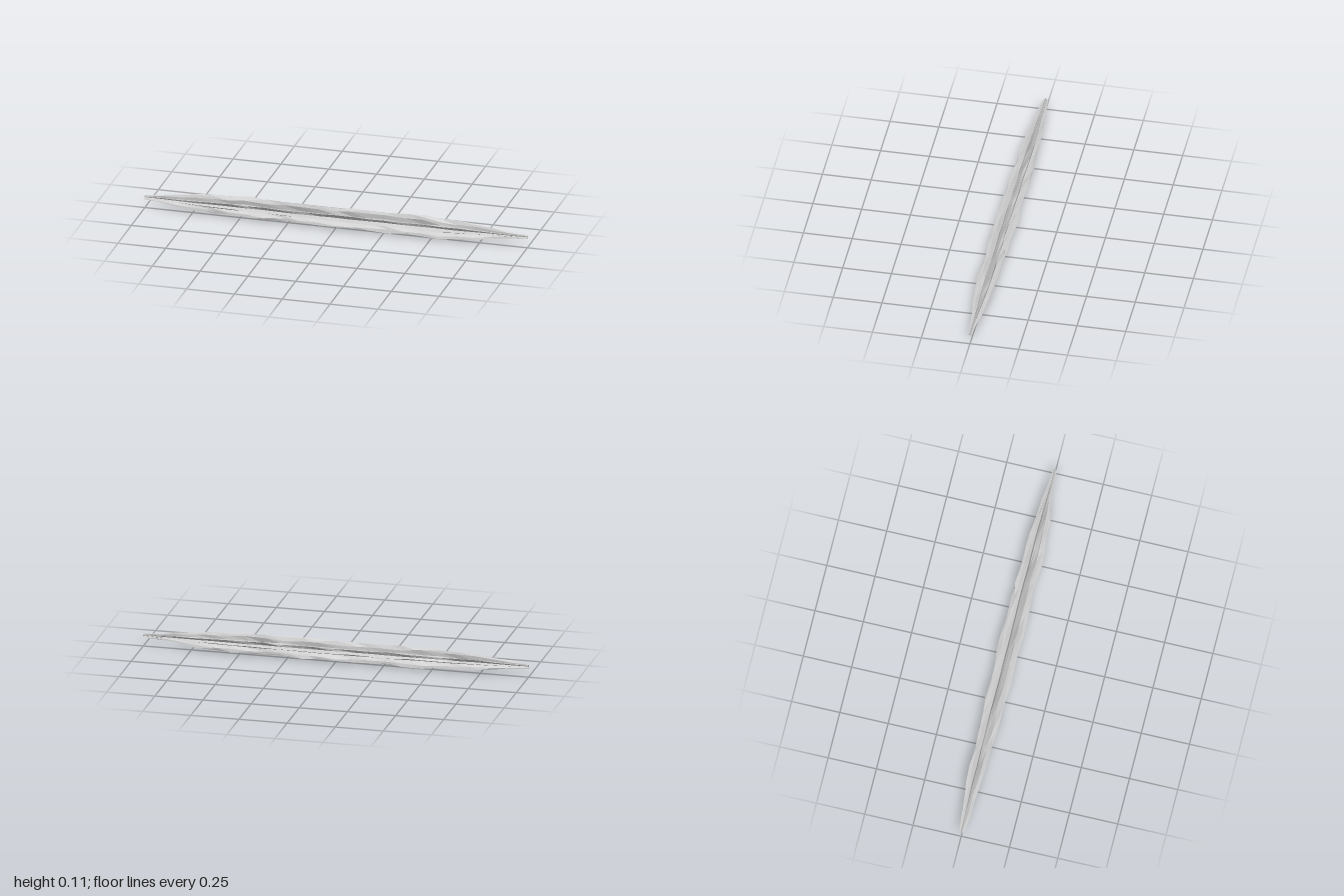
import * as THREE from 'three';

const SIDES = 24;   // 12 ridges with a groove between each pair
const RINGS = 22;

// Repeatable noise in 0..1 for one ridge or groove on one ring
function noise(a, b) {
  const s = Math.sin(a * 127.1 + b * 311.7 + 4.3) * 43758.5453;
  return s - Math.floor(s);
}

// Ridge radius along the length: x, radius
const PROFILE = [
  [-1, 0.012], [-0.9, 0.023], [-0.7, 0.044], [-0.45, 0.053], [0, 0.053],
  [0.55, 0.053], [0.72, 0.041], [0.85, 0.021], [1, 0.01],
];

function radiusAt(x) {
  for (let i = 1; i < PROFILE.length; i++) {
    const [x0, r0] = PROFILE[i - 1], [x1, r1] = PROFILE[i];
    if (x <= x1) return r0 + (r1 - r0) * (x - x0) / (x1 - x0);
  }
  return PROFILE[PROFILE.length - 1][1];
}

export function createModel() {
  const group = new THREE.Group();
  group.name = 'ridgedSpindle';

  // Closed rod, reshaped into a star section that tapers to both ends
  const geometry = new THREE.CylinderGeometry(1, 1, 2, SIDES, RINGS);
  const p = geometry.attributes.position;
  for (let i = 0; i < p.count; i++) {
    const x = p.getX(i), y = p.getY(i), z = p.getZ(i);
    if (Math.hypot(x, z) < 0.5) continue; // centre of an end cap
    const step = (Math.PI * 2) / SIDES;
    const side = (Math.round(Math.atan2(x, z) / step) + SIDES) % SIDES;
    const ring = Math.round((y + 1) / 2 * RINGS);
    const groove = side % 2 === 1;
    const end = ring === 0 || ring === RINGS;
    const rough = groove ? 0.5 + 0.18 * noise(side, ring) : 0.78 + 0.32 * noise(side, ring);
    const r = radiusAt(y) * rough;
    const angle = (side + (noise(ring, side + 50) - 0.5) * 0.3) * step;
    // Uneven ring spacing, the two ends kept square
    const along = end ? y : y + (noise(side + 9, ring + 70) - 0.5) * 0.03;
    p.setXYZ(i, Math.sin(angle) * r, along, Math.cos(angle) * r);
  }
  geometry.rotateZ(-Math.PI / 2);
  geometry.computeVertexNormals();
  geometry.computeBoundingBox();
  geometry.translate(0, -geometry.boundingBox.min.y, 0);

  const shaft = new THREE.Mesh(
    geometry,
    new THREE.MeshStandardMaterial({ color: 0xcccccc, flatShading: true })
  );
  shaft.name = 'shaft';
  group.add(shaft);
  return group;
}
